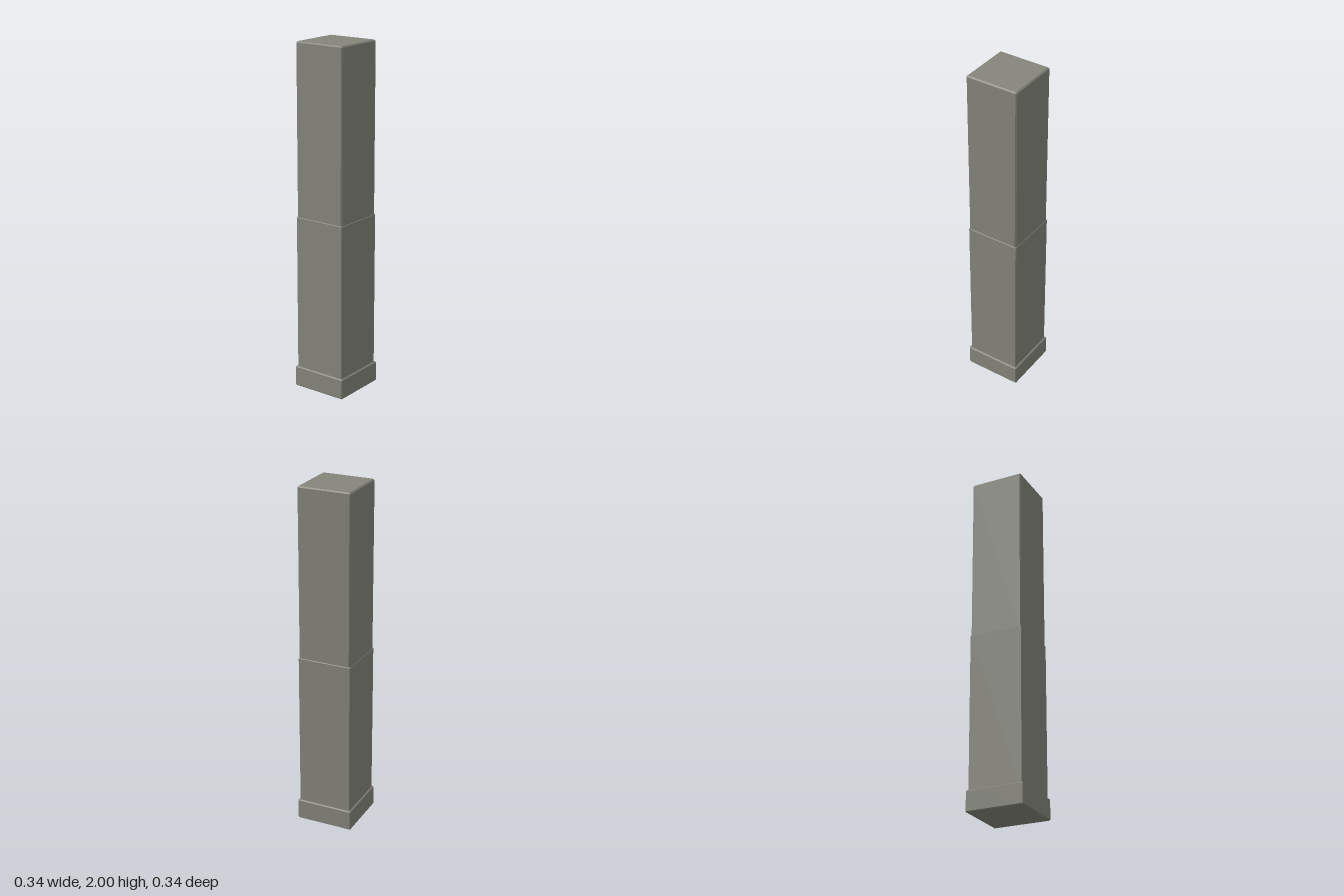
import * as THREE from 'three';

// Upright square block with all edges chamfered by c, standing from y0 to y1
function chamferedBlock(half, y0, y1, c) {
  const h = half, k = half - c;
  const outline = new THREE.Shape([
    [h, -k], [h, k], [k, h], [-k, h], [-h, k], [-h, -k], [-k, -h], [k, -h],
  ].map(([x, y]) => new THREE.Vector2(x, y)));
  const geometry = new THREE.ExtrudeGeometry(outline, {
    depth: y1 - y0 - 2 * c,
    bevelEnabled: true,
    bevelSegments: 1,
    bevelThickness: c,
    bevelSize: c,
    bevelOffset: -c,
  });
  return geometry.rotateX(-Math.PI / 2).translate(0, y0 + c, 0);
}

export function createModel() {
  const group = new THREE.Group();
  group.name = 'squarePillar';
  const stone = new THREE.MeshStandardMaterial({ color: 0x85857c });
  stone.name = 'greyStone';

  // Plinth, thicker lower shaft and slimmer upper shaft
  const parts = [
    ['plinth', 0.168, 0, 0.12, 0.005],
    ['lowerShaft', 0.158, 0.06, 1.02, 0.004],
    ['upperShaft', 0.155, 0.98, 2, 0.007],
  ];
  for (const [name, half, y0, y1, chamfer] of parts) {
    const mesh = new THREE.Mesh(chamferedBlock(half, y0, y1, chamfer), stone);
    mesh.name = name;
    group.add(mesh);
  }
  return group;
}
